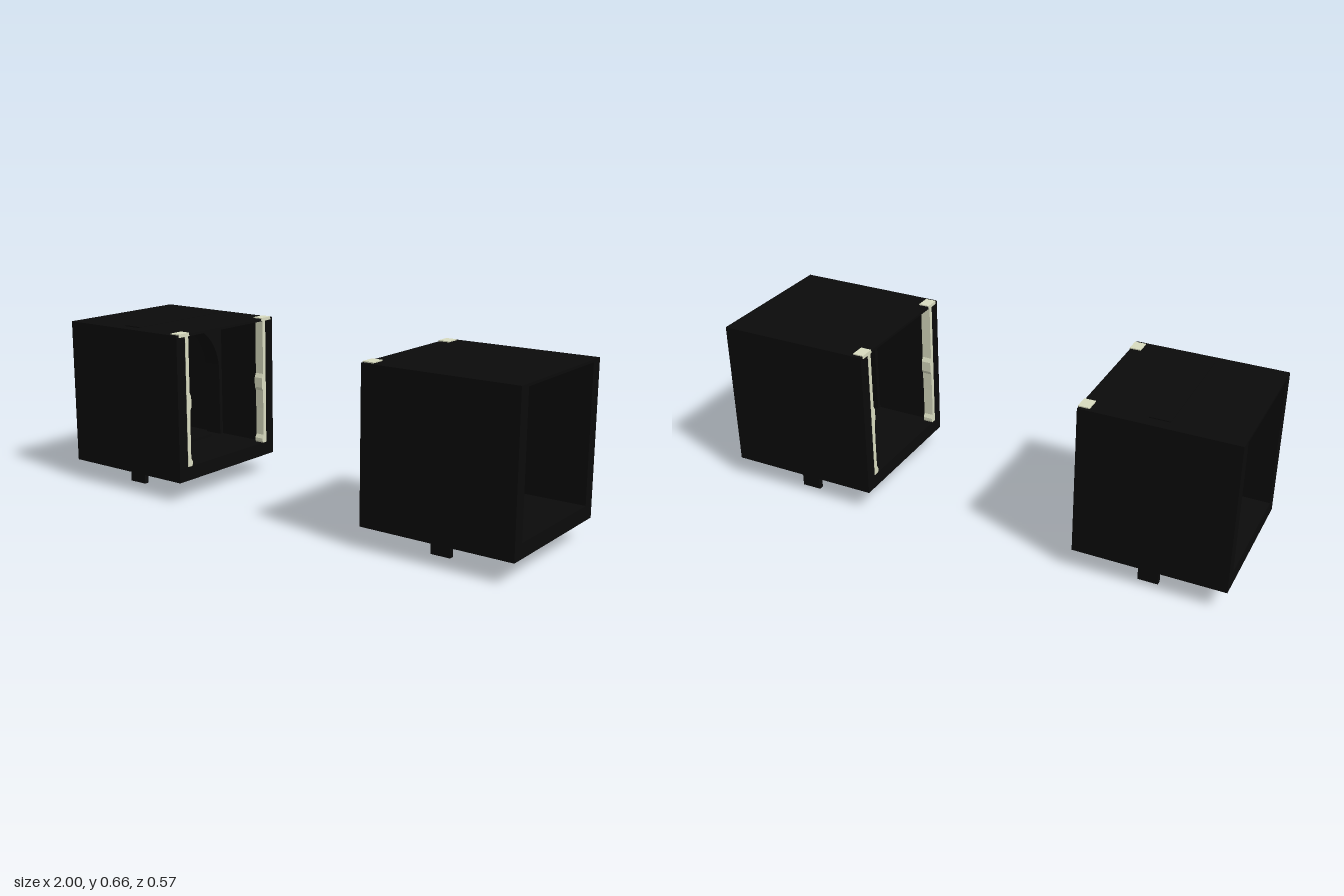
import * as THREE from 'three';

const black = new THREE.MeshStandardMaterial({ color: 0x0b0b0b });
const cream = new THREE.MeshStandardMaterial({ color: 0xd9dcc0 });

function mesh(name, geometry, material) {
  const m = new THREE.Mesh(geometry, material);
  m.name = name;
  return m;
}

// box given by its limits on each axis
function block(name, [x0, x1], [y0, y1], [z0, z1], material = black) {
  const m = mesh(name, new THREE.BoxGeometry(x1 - x0, y1 - y0, z1 - z0), material);
  m.position.set((x0 + x1) / 2, (y0 + y1) / 2, (z0 + z1) / 2);
  return m;
}

// profile drawn in (-z, y), extruded along x from x0 to x1
function extrudeX(name, shape, x0, x1, material) {
  const g = new THREE.ExtrudeGeometry(shape, { depth: x1 - x0, bevelEnabled: false, curveSegments: 40 });
  g.rotateY(Math.PI / 2).translate(x0, 0, 0);
  return mesh(name, g, material);
}

// arched partition whose two jambs run through the floor and form the feet
function archShape(top) {
  const out = 0.238, inn = 0.218, spring = 0.41;
  const s = new THREE.Shape();
  s.moveTo(out, 0);
  s.lineTo(out, top);
  s.lineTo(-out, top);
  s.lineTo(-out, 0.025);
  s.lineTo(-inn, 0.025);
  s.lineTo(-inn, spring);
  s.absellipse(0, spring, inn, 0.212, Math.PI, 0, true);
  s.lineTo(inn, 0);
  s.closePath();
  return s;
}

// corner strip with two chamfered knobs on its inner side
function stripShape(side) {
  const points = [
    [0.237, 0.135], [0.216, 0.135], [0.212, 0.142], [0.212, 0.153], [0.220, 0.168],
    [0.220, 0.28], [0.218, 0.355], [0.212, 0.368], [0.212, 0.408], [0.220, 0.425],
    [0.220, 0.65], [0.237, 0.65],
  ];
  return new THREE.Shape(points.map(([z, y]) => new THREE.Vector2(-side * z, y)));
}

// open-ended case; inner is the sign of x pointing to the other case
function createCase(name, x0, x1, archX, archTop, inner) {
  const g = new THREE.Group();
  g.name = name;
  const span = [x0, x1];

  // shell
  g.add(block('floor', span, [0.08, 0.135], [-0.283, 0.283]));
  g.add(block('roof', span, [0.642, 0.652], [-0.283, 0.283]));
  for (const side of [-1, 1]) {
    const z = [side * 0.235, side * 0.283].sort((a, b) => a - b);
    g.add(block('sideWall', span, [0.135, 0.642], z));
  }

  // arch partition and floor sill
  g.add(extrudeX('archPartition', archShape(archTop), archX - 0.038, archX + 0.038, black));
  g.add(block('floorSill', [archX - 0.035, archX + 0.035], [0.135, 0.145], [-0.167, 0.17]));

  // cream strips with caps at the inner opening
  const edge = inner > 0 ? x1 : x0;
  const stripSpan = [edge + inner * 0.002, edge - inner * 0.036].sort((a, b) => a - b);
  const capSpan = [edge + inner * 0.002, edge - inner * 0.04].sort((a, b) => a - b);
  for (const side of [-1, 1]) {
    g.add(extrudeX('cornerStrip', stripShape(side), stripSpan[0], stripSpan[1], cream));
    const z = [side * 0.214, side * 0.27].sort((a, b) => a - b);
    g.add(block('stripCap', capSpan, [0.643, 0.656], z, cream));
  }
  return g;
}

export function createModel() {
  const model = new THREE.Group();
  model.name = 'pairedArchCases';
  model.add(createCase('rightCase', -1, -0.432, -0.705, 0.656, 1));
  model.add(createCase('leftCase', 0.404, 0.997, 0.7, 0.648, -1));
  return model;
}
